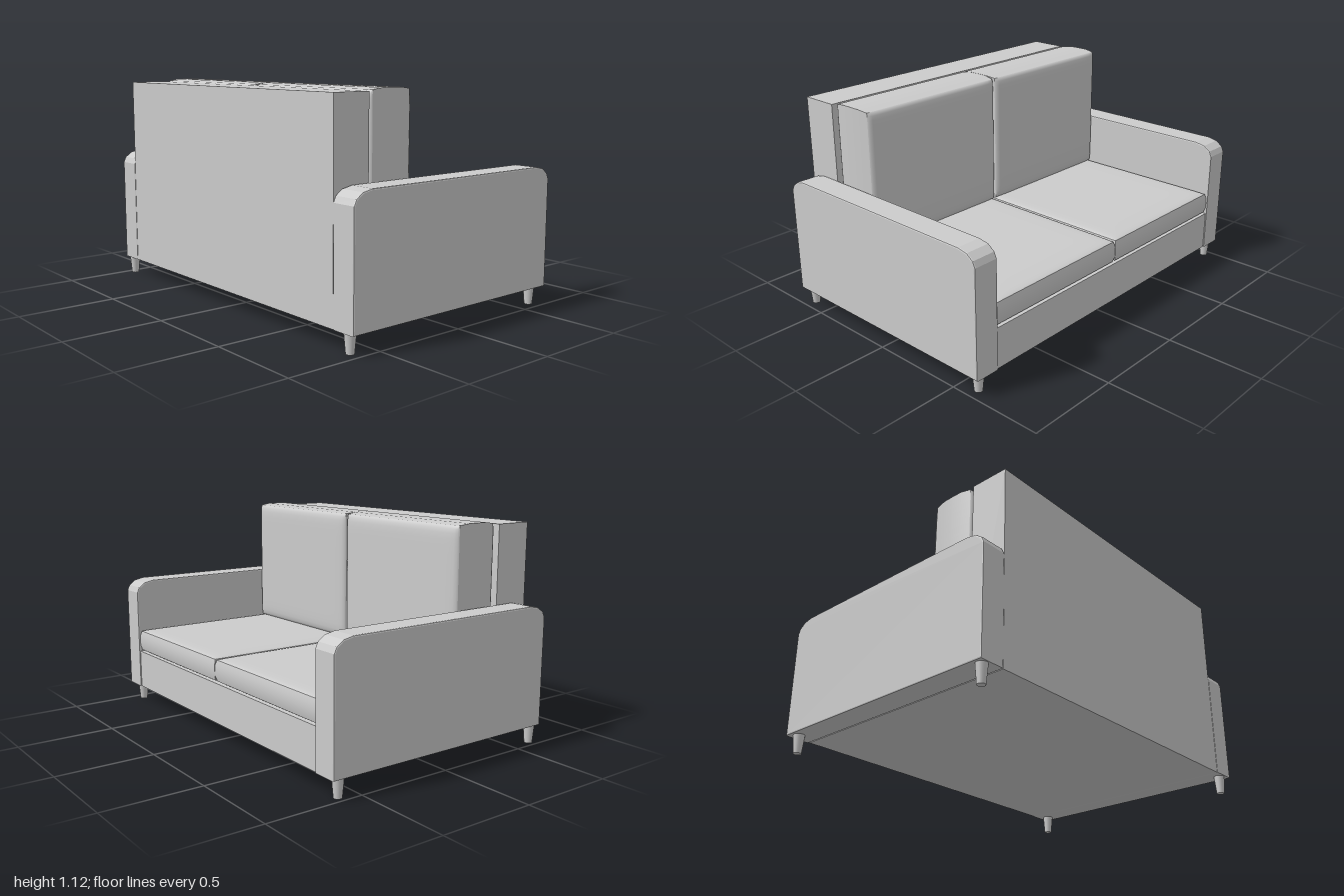
import * as THREE from 'three';

const material = new THREE.MeshStandardMaterial({ color: 0xcccccc });

function add(parent, name, geometry, x = 0, y = 0, z = 0) {
  const mesh = new THREE.Mesh(geometry, material);
  mesh.name = name;
  mesh.position.set(x, y, z);
  parent.add(mesh);
  return mesh;
}

// Box given by its y and z limits, centred on x
function addBox(parent, name, width, y0, y1, z0, z1) {
  return add(parent, name, new THREE.BoxGeometry(width, y1 - y0, z1 - z0), 0, (y0 + y1) / 2, (z0 + z1) / 2);
}

// Cushion lying in the xy plane: the two broad faces swell towards their middle
function cushionGeometry(width, height, depth, bulge) {
  const geometry = new THREE.BoxGeometry(1, 1, 1, 20, 20, 4);
  const p = geometry.attributes.position;
  const spread = (t) => Math.sin(t * Math.PI); // packs rows near the edges
  for (let i = 0; i < p.count; i++) {
    const u = spread(p.getX(i));
    const v = spread(p.getY(i));
    const w = p.getZ(i) * 2;
    const swell = Math.sqrt((1 - u ** 16) * (1 - v ** 16));
    const inset = 0.008 * w ** 4; // softens the rim
    p.setXYZ(
      i,
      u * (width / 2 - inset),
      v * (height / 2 - inset),
      w * (depth / 2 - bulge + bulge * swell)
    );
  }
  geometry.computeVertexNormals();
  return geometry;
}

// Arm: side outline with rounded upper corners, extruded across x
function armGeometry(width) {
  const b = 0.007;
  const half = 0.655 - b;
  const top = 0.715 - b;
  const bottom = 0.095 + b;
  const corner = [[0, 0.06], [0.012, 0.034], [0.045, 0.01], [0.095, 0]];
  const points = [[-half, bottom], [half, bottom]];
  corner.forEach(([dz, dy]) => points.push([half - dz, top - dy]));
  [...corner].reverse().forEach(([dz, dy]) => points.push([-half + dz, top - dy]));
  const shape = new THREE.Shape(points.map(([z, y]) => new THREE.Vector2(z, y)));
  const geometry = new THREE.ExtrudeGeometry(shape, {
    depth: width - 2 * b, bevelEnabled: true, bevelSize: b, bevelThickness: b, bevelSegments: 2
  });
  geometry.translate(0, 0, b - width / 2);
  geometry.rotateY(-Math.PI / 2);
  return geometry;
}

export function createModel() {
  const sofa = new THREE.Group();
  sofa.name = 'sofa';

  // Frame
  addBox(sofa, 'seatBase', 1.73, 0.095, 0.305, -0.648, 0.45);
  addBox(sofa, 'backPanel', 1.73, 0.095, 1.112, 0.45, 0.652);

  // Arms, cushions and legs on each side
  const arm = armGeometry(0.135);
  const backCushion = cushionGeometry(0.86, 0.7, 0.268, 0.022);
  const seatCushion = cushionGeometry(0.86, 1.088, 0.13, 0.01);
  seatCushion.rotateX(-Math.PI / 2);
  const leg = new THREE.CylinderGeometry(0.029, 0.02, 0.1, 20);
  for (const side of [-1, 1]) {
    const label = side > 0 ? 'left' : 'right';
    add(sofa, label + 'Arm', arm, side * 0.9325);
    add(sofa, label + 'BackCushion', backCushion, side * 0.431, 0.775, 0.307);
    add(sofa, label + 'SeatCushion', seatCushion, side * 0.431, 0.37, -0.104);
    for (const z of [-0.602, 0.62]) {
      add(sofa, label + (z > 0 ? 'RearLeg' : 'FrontLeg'), leg, side * 0.95 - 0.01, 0.05, z);
    }
  }
  return sofa;
}
